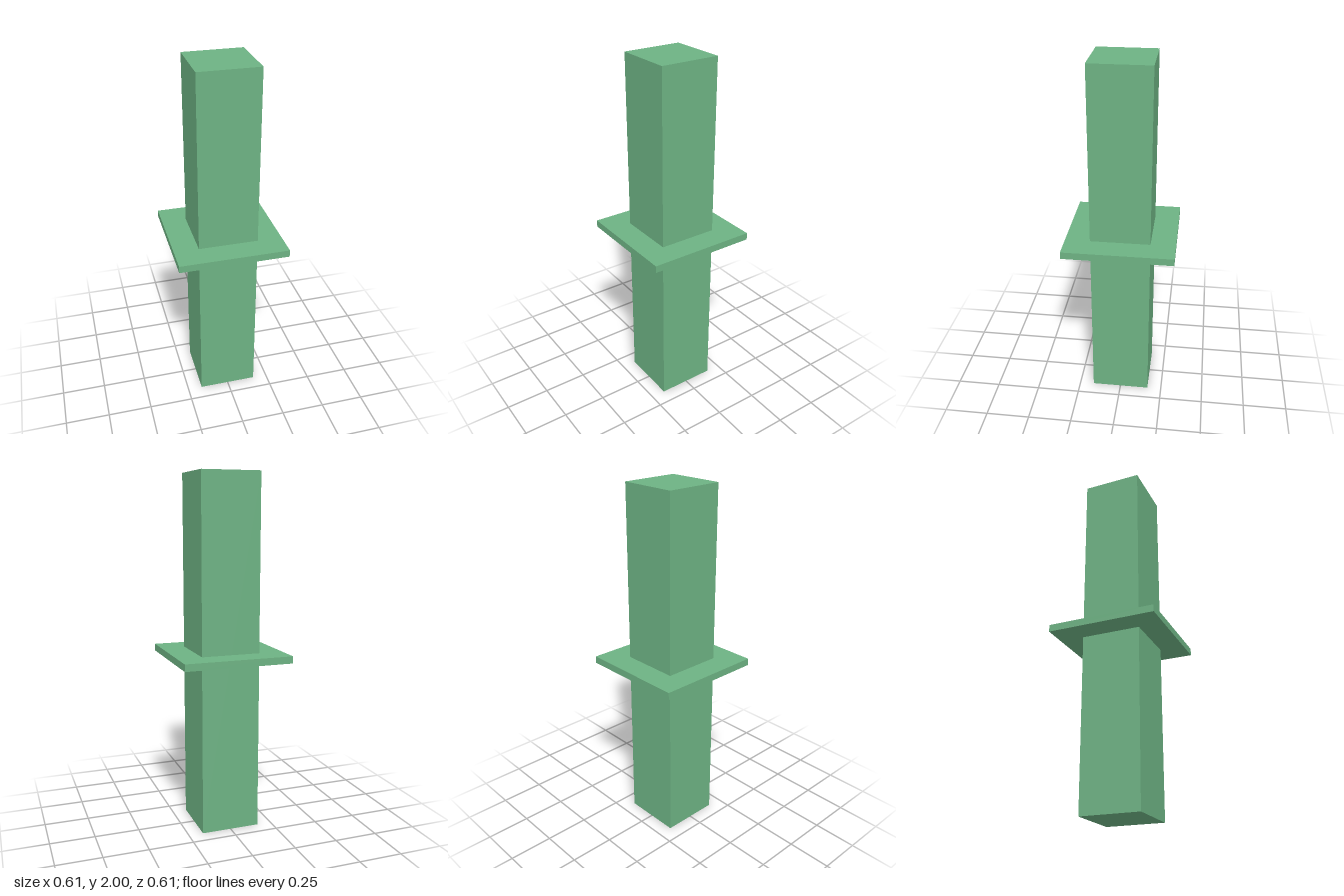
import * as THREE from 'three';

export function createModel() {
  const group = new THREE.Group();
  const green = new THREE.MeshStandardMaterial({ color: 0x6db283 });

  const addBlock = (name, width, height, y) => {
    const mesh = new THREE.Mesh(new THREE.BoxGeometry(width, height, width), green);
    mesh.name = name;
    mesh.position.y = y;
    group.add(mesh);
  };

  // Square post, full height
  addBlock('post', 0.334, 2, 1);
  // Thin square plate around the middle of the post
  addBlock('collarPlate', 0.612, 0.04, 1);

  return group;
}
